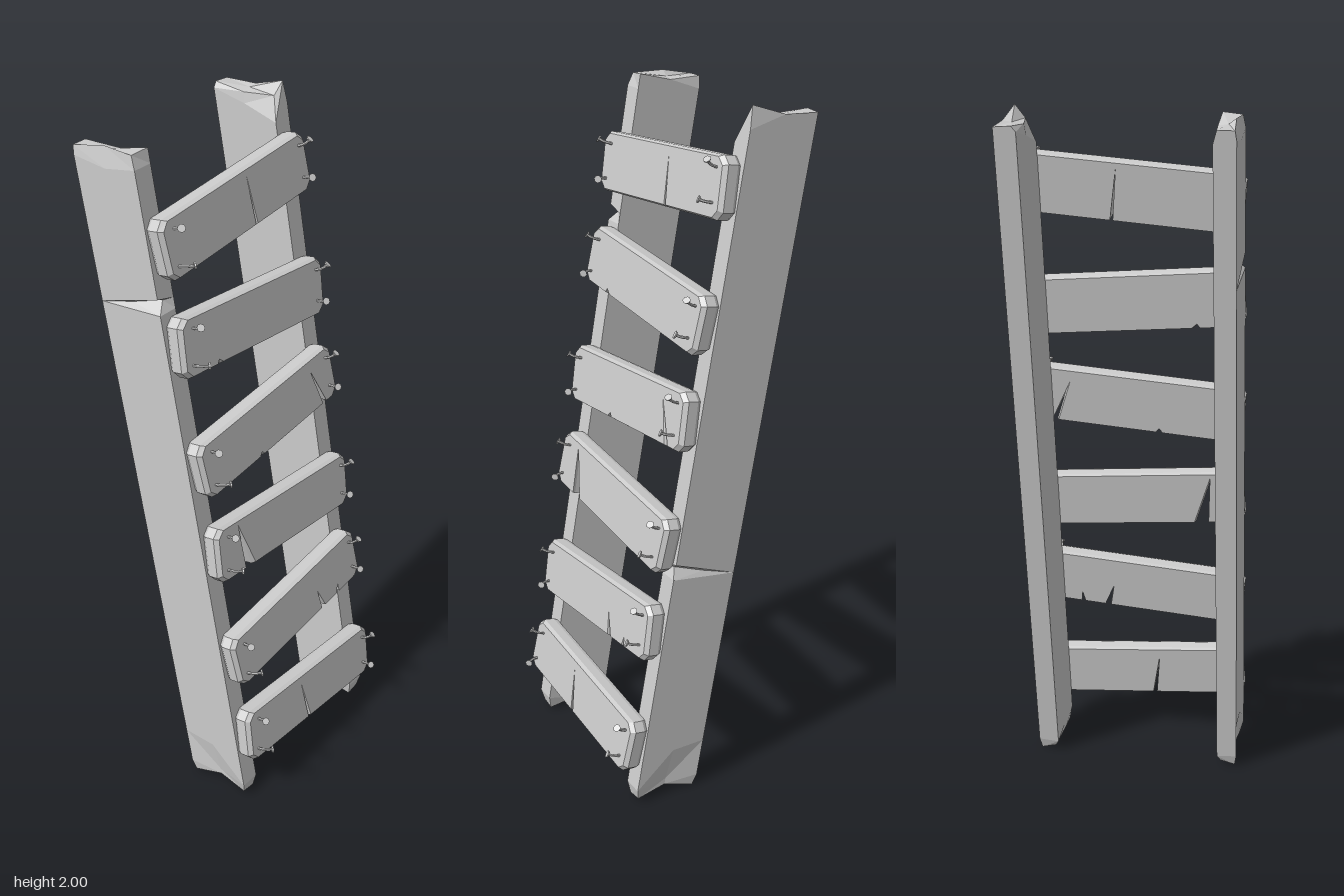
import * as THREE from 'three';

const SLOPE = 0.177;                       // backward lean, dz per dy
const LEAN = -Math.atan(SLOPE);
const frontZ = (y) => 0.244 - SLOPE * y;   // front plane of the rails
const DEPTH = 0.205;
const material = new THREE.MeshStandardMaterial({ color: 0xcccccc, flatShading: true, side: THREE.DoubleSide });

const ZERO = [0, 0, 0, 0, 0, 0];
// Ring corners: front outer, front inner, mid inner, back inner, back outer, mid outer
const BACK = [0, 0, 0.5, 1, 1, 0.5];
const OUTER = [1, 0, 0, 0, 1, 1];

// Three rings forming a slanted split that tapers from the front outer edge to the back
function split(y, slant, width, depth) {
  const ys = (k) => BACK.map((b, i) => y - slant * b + k * (OUTER[i] ? width * (1 - b) : width));
  return [
    { y: ys(-1) },
    { y: ys(0), dx: [depth, 0, 0, 0, 0, depth * 0.4], dz: [depth * 0.4, 0, 0, 0, 0, 0] },
    { y: ys(0.5) },
  ];
}

// Rail lofted through six-cornered rings, with broken ends
function makeRail(name, side, rows) {
  const rings = rows.map(({ y, dx = ZERO, dz = ZERO }) => y.map((v, i) => {
    const x = OUTER[i] ? 0.31 - dx[i] : 0.25 + dx[i];
    return new THREE.Vector3(side * x, v, frontZ(v) - BACK[i] * DEPTH - dz[i]);
  }));
  const pos = [];
  const tri = (a, b, c) => (side > 0 ? [a, b, c] : [a, c, b]).forEach((p) => pos.push(p.x, p.y, p.z));
  const centre = (ring, dy) => {
    const c = new THREE.Vector3();
    ring.forEach((p) => c.addScaledVector(p, 1 / 6));
    c.y += dy;
    return c;
  };
  const low = rings[0], high = rings[rings.length - 1];
  const lowC = centre(low, 0.008), highC = centre(high, -0.006);
  for (let i = 0; i < 6; i++) {
    const j = (i + 1) % 6;
    for (let r = 0; r < rings.length - 1; r++) {
      tri(rings[r][j], rings[r][i], rings[r + 1][i]);
      tri(rings[r][j], rings[r + 1][i], rings[r + 1][j]);
    }
    tri(lowC, low[i], low[j]);
    tri(highC, high[j], high[i]);
  }
  const geo = new THREE.BufferGeometry();
  geo.setAttribute('position', new THREE.Float32BufferAttribute(pos, 3));
  geo.computeVertexNormals();
  const mesh = new THREE.Mesh(geo, material);
  mesh.name = name;
  return mesh;
}

// Plank outline with cut corners; each nick is [x, tip x, tip y, half width, top edge?]
function makePlank(nicks) {
  const w = 0.307, h = 0.083, c = 0.022;
  const edge = (top) => nicks.filter((n) => !!n[4] === top).sort((a, b) => (top ? b[0] - a[0] : a[0] - b[0]));
  const pts = [[-w, -h + c], [-w + c, -h]];
  edge(false).forEach(([x, tx, ty, k]) => pts.push([x - k, -h], [tx, ty], [x + k, -h]));
  pts.push([w - c, -h], [w, -h + c], [w, h - c], [w - c, h]);
  edge(true).forEach(([x, tx, ty, k]) => pts.push([x + k, h], [tx, ty], [x - k, h]));
  pts.push([-w + c, h], [-w, h - c]);
  const shape = new THREE.Shape(pts.map((p) => new THREE.Vector2(...p)));
  const geo = new THREE.ExtrudeGeometry(shape, { depth: 3, steps: 3, bevelEnabled: false });
  // Rings at uneven depth, pulled in toward front and back for worn edges
  const z = [0, 0.012, 0.041, 0.053], sx = [0.975, 1, 1, 0.965], sy = [0.97, 1, 1, 0.93];
  const p = geo.attributes.position;
  for (let i = 0; i < p.count; i++) {
    const k = Math.round(p.getZ(i));
    p.setXYZ(i, p.getX(i) * sx[k], p.getY(i) * sy[k], z[k]);
  }
  geo.computeVertexNormals();
  const mesh = new THREE.Mesh(geo, material);
  mesh.name = 'plank';
  return mesh;
}

// Bent nail with a tilted round head
function makeNail(bendX, bendY) {
  const nail = new THREE.Group();
  nail.name = 'nail';
  const curve = new THREE.QuadraticBezierCurve3(
    new THREE.Vector3(0, 0, -0.01),
    new THREE.Vector3(0, 0, 0.02),
    new THREE.Vector3(bendX, bendY, 0.037));
  const shaft = new THREE.Mesh(new THREE.TubeGeometry(curve, 4, 0.004, 6), material);
  shaft.name = 'nailShaft';
  const head = new THREE.Mesh(new THREE.CylinderGeometry(0.011, 0.009, 0.005, 8), material);
  head.name = 'nailHead';
  head.position.copy(curve.getPoint(1));
  head.quaternion.setFromUnitVectors(new THREE.Vector3(0, 1, 0), curve.getTangent(1));
  nail.add(shaft, head);
  return nail;
}

export function createModel() {
  const model = new THREE.Group();
  model.name = 'woodenLadder';

  // Rails
  const foot = [
    { y: [0.015, 0.01, 0.025, 0.012, 0, 0.03], dx: [0.01, 0.006, 0, 0.01, 0.006, 0.014], dz: [0.014, 0.014, 0, -0.006, -0.006, 0] },
    { y: [0.05, 0.05, 0.045, 0.03, 0.035, 0.05], dx: [0, 0, 0, 0, 0, 0.014] },
    { y: [0.15, 0.15, 0.15, 0.15, 0.15, 0.15] },
  ];
  model.add(makeRail('leftRail', 1, [
    ...foot,
    ...split(0.745, 0.06, 0.03, 0.022),
    { y: [1.94, 1.9, 1.93, 1.95, 1.95, 1.94] },
    { y: [2.0, 1.965, 1.96, 1.965, 1.962, 1.968], dx: [0.008, 0.022, 0.004, 0.012, 0, 0], dz: [0, 0.012, 0, 0, 0, 0] },
  ]));
  model.add(makeRail('rightRail', -1, [
    ...foot,
    ...split(1.6, 0.05, 0.03, 0.03),
    { y: [1.95, 1.95, 1.93, 1.93, 1.94, 1.93] },
    { y: [1.985, 1.99, 1.965, 1.965, 1.965, 1.985], dx: [0.006, 0, 0, 0.01, 0.004, 0.012], dz: [0.008, 0, 0, 0, 0, 0] },
  ]));

  // Steps: height and cracks, tilted alternately
  const steps = [
    [0.213, [[-0.02, -0.05, 0.06, 0.006]]],
    [0.525, [[0.11, 0.095, -0.01, 0.009], [0.19, 0.195, -0.05, 0.006]]],
    [0.833, [[-0.18, -0.22, 0.07, 0.022]]],
    [1.143, [[0.245, 0.205, 0.05, 0.009], [-0.07, -0.068, -0.07, 0.01]]],
    [1.453, [[-0.17, -0.175, -0.07, 0.012]]],
    [1.765, [[0.05, 0.045, 0.068, 0.004]]],
  ];
  steps.forEach(([y, nicks], i) => {
    const step = new THREE.Group();
    step.name = 'step' + (i + 1);
    step.position.set(0, y, frontZ(y));
    step.rotation.set(LEAN, 0, i % 2 ? 0.083 : -0.083);
    step.add(makePlank(nicks));
    // Nails: x, y, bend
    [[-0.258, 0.05, -0.012, 0.01], [-0.272, -0.048, 0.02, -0.002],
      [0.272, 0.05, 0.008, 0.018], [0.27, -0.04, -0.008, 0.006]].forEach(([nx, ny, bx, by]) => {
      const nail = makeNail(bx, by);
      nail.position.set(nx, ny, 0.053);
      step.add(nail);
    });
    model.add(step);
  });
  return model;
}
